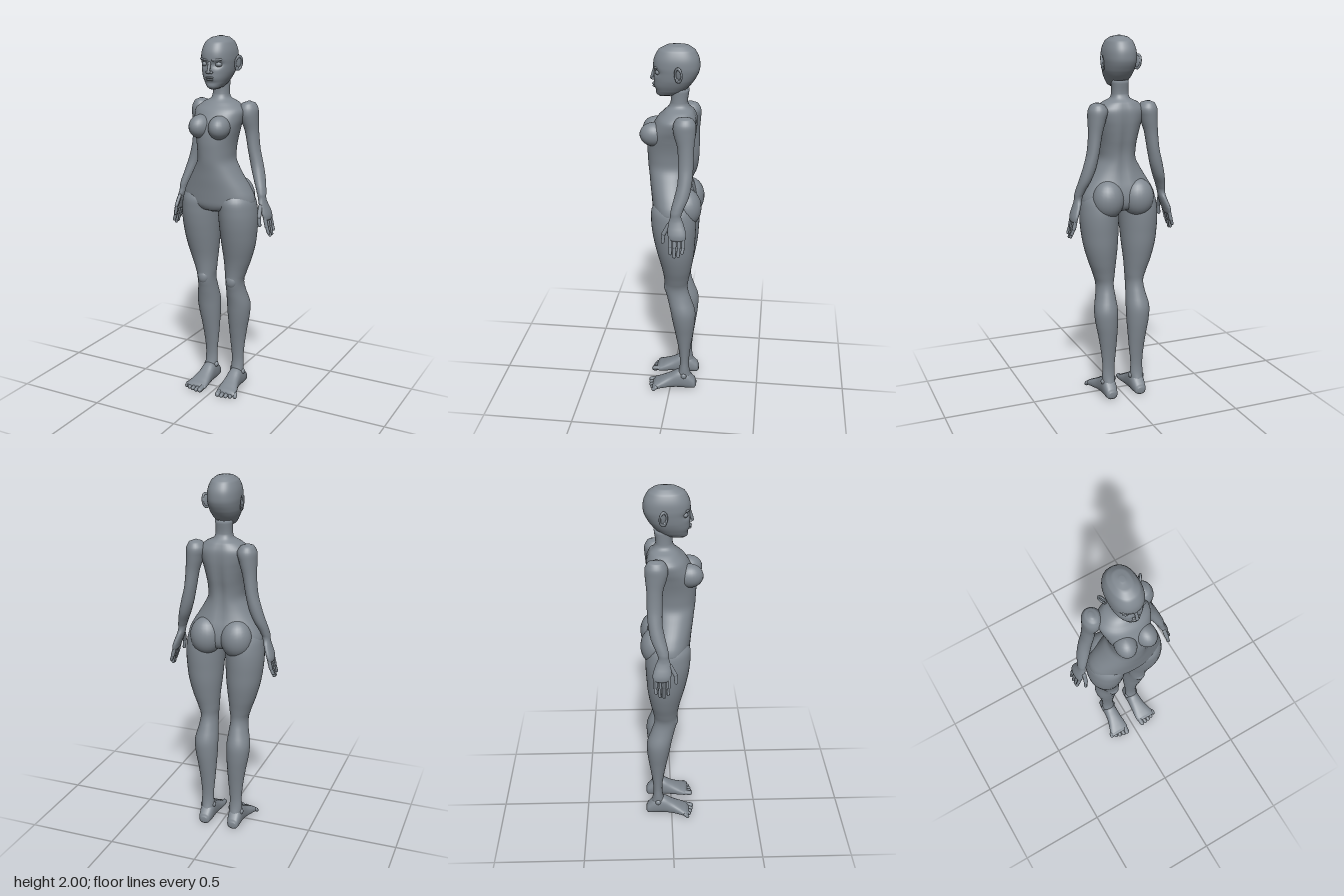
import * as THREE from 'three';
import { mergeGeometries } from 'three/addons/utils/BufferGeometryUtils.js';

// Smooth skin through elliptical sections [y, xMin, xMax, zMin, zMax]
function loft(sections, { sides = 32, steps = 4, power = 2, deform } = {}) {
  const s = sections[0][0] > sections.at(-1)[0] ? [...sections].reverse() : sections;
  const at = (i) => s[Math.min(Math.max(i, 0), s.length - 1)];
  const rings = [];
  for (let i = 0; i < s.length - 1; i++) {
    for (let k = 0; k < steps; k++) {
      const t = k / steps;
      rings.push(s[i].map((b, c) => {
        if (c === 0) return b + (at(i + 1)[0] - b) * t;
        const a = at(i - 1)[c], d = at(i + 1)[c], e = at(i + 2)[c];
        return 0.5 * (2 * b + (d - a) * t + (2 * a - 5 * b + 4 * d - e) * t * t + (3 * b - a - 3 * d + e) * t * t * t);
      }));
    }
  }
  rings.push(s.at(-1));
  const pos = [], index = [];
  const bend = (v) => Math.sign(v) * Math.abs(v) ** (2 / power);
  for (const [y, x0, x1, z0, z1] of rings) {
    for (let j = 0; j < sides; j++) {
      const a = (j / sides) * Math.PI * 2;
      const p = new THREE.Vector3((x0 + x1) / 2 + (x1 - x0) / 2 * bend(Math.cos(a)), y,
        (z0 + z1) / 2 + (z1 - z0) / 2 * bend(Math.sin(a)));
      if (deform) deform(p, (z0 + z1) / 2);
      pos.push(p.x, p.y, p.z);
    }
  }
  const last = rings.length - 1, low = rings.length * sides;
  for (const r of [rings[0], rings[last]]) pos.push((r[1] + r[2]) / 2, r[0], (r[3] + r[4]) / 2);
  for (let j = 0; j < sides; j++) {
    const n = (j + 1) % sides;
    for (let i = 0; i < last; i++) {
      const a = i * sides, b = a + sides;
      index.push(a + j, b + j, a + n, a + n, b + j, b + n);
    }
    index.push(low, j, n, low + 1, last * sides + n, last * sides + j);
  }
  const g = new THREE.BufferGeometry();
  g.setAttribute('position', new THREE.Float32BufferAttribute(pos, 3));
  g.setIndex(index);
  g.computeVertexNormals();
  return g;
}

const ball = (x, y, z, rx, ry, rz, turn = 0) =>
  new THREE.SphereGeometry(1, 24, 16).scale(rx, ry, rz).rotateY(turn).translate(x, y, z);

// Rounded rod between two points
function rod(a, b, r) {
  const p = new THREE.Vector3(...a), q = new THREE.Vector3(...b), d = q.clone().sub(p);
  const turn = new THREE.Quaternion().setFromUnitVectors(new THREE.Vector3(0, 1, 0), d.clone().normalize());
  const mid = p.add(q).multiplyScalar(0.5);
  return new THREE.CapsuleGeometry(r, d.length(), 5, 10).applyQuaternion(turn).translate(mid.x, mid.y, mid.z);
}

function mirrored(geometry) {
  const g = geometry.clone().scale(-1, 1, 1);
  const ix = g.index.array;
  for (let i = 0; i < ix.length; i += 3) [ix[i], ix[i + 1]] = [ix[i + 1], ix[i]];
  if (g.attributes.normal) g.computeVertexNormals();
  return g;
}

export function createModel() {
  const model = new THREE.Group();
  const skin = new THREE.MeshStandardMaterial({ color: 0x808890 });
  skin.name = 'slate grey';
  const add = (name, geometry) => {
    const mesh = new THREE.Mesh(geometry, skin);
    mesh.name = name;
    model.add(mesh);
  };
  const pair = (name, geometry) => {
    add('left' + name, geometry);
    add('right' + name, mirrored(geometry));
  };
  const centred = (rows) => rows.map(([y, w, z0, z1]) => [y, -w, w, z0, z1]);
  const bump = (d, r) => Math.exp(-(d * d) / (r * r));

  // Torso and neck, with a groove along the spine
  add('torso', loft(centred([
    [1.77, 0.045, -0.09, 0.01], [1.70, 0.045, -0.083, 0.008], [1.675, 0.054, -0.095, 0.02],
    [1.655, 0.095, -0.115, 0.04], [1.62, 0.135, -0.13, 0.075], [1.58, 0.135, -0.133, 0.1],
    [1.53, 0.122, -0.13, 0.125], [1.46, 0.106, -0.12, 0.132], [1.40, 0.099, -0.108, 0.13],
    [1.35, 0.1, -0.104, 0.127], [1.30, 0.125, -0.106, 0.121], [1.25, 0.154, -0.115, 0.116],
    [1.20, 0.184, -0.128, 0.11], [1.15, 0.206, -0.135, 0.105], [1.11, 0.2, -0.13, 0.1],
    [1.08, 0.12, -0.11, 0.085], [1.065, 0.04, -0.06, 0.05],
  ]), {
    sides: 48, power: 2.15,
    deform: (p, mid) => {
      if (p.z < mid) p.z += 0.016 * bump(p.x, 0.025) * bump(p.y - 1.42, 0.2);
    },
  }));
  pair('Breast', ball(0.056, 1.535, 0.092, 0.057, 0.063, 0.073, 0.12));
  pair('Buttock', ball(0.086, 1.14, -0.085, 0.088, 0.105, 0.082, 0.15));

  // Head with eye sockets and brow
  add('head', loft(centred([
    [2.0, 0.012, -0.045, -0.015], [1.992, 0.042, -0.085, 0.03], [1.97, 0.067, -0.117, 0.07],
    [1.93, 0.082, -0.138, 0.092], [1.89, 0.086, -0.143, 0.098], [1.86, 0.084, -0.138, 0.096],
    [1.82, 0.078, -0.118, 0.094], [1.79, 0.068, -0.095, 0.094], [1.76, 0.053, -0.065, 0.089],
    [1.74, 0.038, -0.03, 0.082], [1.73, 0.02, 0.01, 0.07],
  ]), {
    sides: 56, steps: 6, power: 2.3,
    deform: (p, mid) => {
      if (p.z < mid) return;
      p.z -= 0.02 * bump(Math.abs(p.x) - 0.04, 0.022) * bump(p.y - 1.86, 0.017);
      p.z -= 0.006 * bump(p.x, 0.04) * bump(p.y - 1.765, 0.012);
    },
  }));
  pair('Eye', ball(0.039, 1.86, 0.066, 0.019, 0.014, 0.018));
  pair('Brow', rod([0.018, 1.883, 0.092], [0.058, 1.886, 0.076], 0.006));
  add('nose', mergeGeometries([
    rod([0, 1.87, 0.092], [0, 1.827, 0.106], 0.008), ball(0, 1.822, 0.104, 0.011, 0.009, 0.011),
    ball(0.012, 1.82, 0.097, 0.008, 0.007, 0.009), ball(-0.012, 1.82, 0.097, 0.008, 0.007, 0.009),
  ]));
  add('lips', mergeGeometries([
    ball(0, 1.793, 0.093, 0.023, 0.006, 0.011), ball(0, 1.781, 0.09, 0.02, 0.0065, 0.012),
  ]));

  // Ears flare outward from the sides of the head
  pair('Ear', mergeGeometries([
    new THREE.TorusGeometry(0.024, 0.006, 10, 24).scale(0.85, 1.4, 1),
    new THREE.SphereGeometry(1, 16, 12).scale(0.02, 0.03, 0.005).translate(0, 0, -0.004),
    new THREE.SphereGeometry(1, 12, 8).scale(0.009, 0.012, 0.007).translate(-0.008, -0.03, 0),
  ]).rotateY(1.05).rotateZ(-0.12).translate(0.1, 1.862, -0.042));

  // Arms down to the palm
  pair('Arm', loft([
    [1.66, 0.135, 0.155, -0.095, -0.065], [1.65, 0.108, 0.178, -0.122, -0.038],
    [1.62, 0.09, 0.193, -0.138, -0.022], [1.58, 0.098, 0.195, -0.138, -0.022],
    [1.50, 0.122, 0.196, -0.131, -0.045], [1.40, 0.14, 0.206, -0.13, -0.05],
    [1.32, 0.157, 0.227, -0.125, -0.05], [1.25, 0.182, 0.246, -0.112, -0.036],
    [1.18, 0.213, 0.262, -0.083, -0.02], [1.15, 0.223, 0.264, -0.076, -0.018],
    [1.12, 0.231, 0.27, -0.088, -0.01], [1.07, 0.248, 0.287, -0.104, -0.006],
    [1.04, 0.258, 0.291, -0.102, -0.014], [1.03, 0.265, 0.286, -0.09, -0.025],
  ]));

  // Fingers and thumb
  const digits = [rod([0.25, 1.11, -0.012], [0.256, 1.06, 0.014], 0.0115),
    rod([0.256, 1.06, 0.014], [0.262, 1.015, 0.019], 0.0095)];
  [0.965, 0.948, 0.952, 0.972].forEach((tip, i) => {
    const z = -0.022 - i * 0.0225, knuckle = [0.284, 1.0, z * 1.02];
    digits.push(rod([0.272, 1.05, z], knuckle, 0.0105), rod(knuckle, [0.295, tip, z * 0.93 - 0.004], 0.0088));
  });
  pair('Fingers', mergeGeometries(digits));

  // Legs
  pair('Leg', loft([
    [1.2, 0.04, 0.165, -0.1, 0.06], [1.14, 0.006, 0.205, -0.13, 0.097], [1.08, 0.006, 0.217, -0.14, 0.1],
    [1.02, 0.008, 0.22, -0.141, 0.095], [0.95, 0.012, 0.215, -0.137, 0.083], [0.87, 0.018, 0.203, -0.131, 0.065],
    [0.78, 0.028, 0.178, -0.116, 0.043], [0.70, 0.035, 0.15, -0.1, 0.032], [0.655, 0.04, 0.138, -0.097, 0.032],
    [0.60, 0.037, 0.143, -0.112, 0.018], [0.52, 0.03, 0.16, -0.139, 0.0], [0.45, 0.03, 0.157, -0.14, -0.012],
    [0.365, 0.035, 0.142, -0.13, -0.028], [0.27, 0.042, 0.128, -0.116, -0.045], [0.18, 0.05, 0.12, -0.107, -0.055],
    [0.12, 0.049, 0.122, -0.11, -0.05], [0.06, 0.05, 0.12, -0.125, -0.03],
  ], { sides: 36 }));
  pair('Kneecap', ball(0.089, 0.665, 0.012, 0.032, 0.04, 0.024));
  pair('AnkleBones', mergeGeometries([
    ball(0.052, 0.1, -0.075, 0.012, 0.016, 0.016), ball(0.119, 0.09, -0.08, 0.012, 0.016, 0.016)]));

  // Feet, lofted from heel to ball, with five toes
  const foot = loft([
    [-0.15, 0.07, 0.105, -0.045, -0.014], [-0.14, 0.055, 0.118, -0.065, -0.003], [-0.10, 0.046, 0.125, -0.105, 0],
    [-0.05, 0.045, 0.126, -0.115, 0], [0, 0.043, 0.132, -0.085, 0], [0.05, 0.038, 0.148, -0.058, 0],
    [0.085, 0.038, 0.158, -0.04, 0], [0.1, 0.046, 0.15, -0.028, -0.005],
  ], { power: 2.4 }).rotateX(Math.PI / 2);
  pair('Foot', foot);
  const toes = [0.121, 0.12, 0.115, 0.107, 0.096].map((tip, i) => {
    const r = i ? 0.0115 : 0.0145, x = 0.055 + i * 0.0245;
    return rod([x, 0.022, 0.08], [x + 0.002, r, tip - r * 0.4], r);
  });
  pair('Toes', mergeGeometries(toes));

  return model;
}
